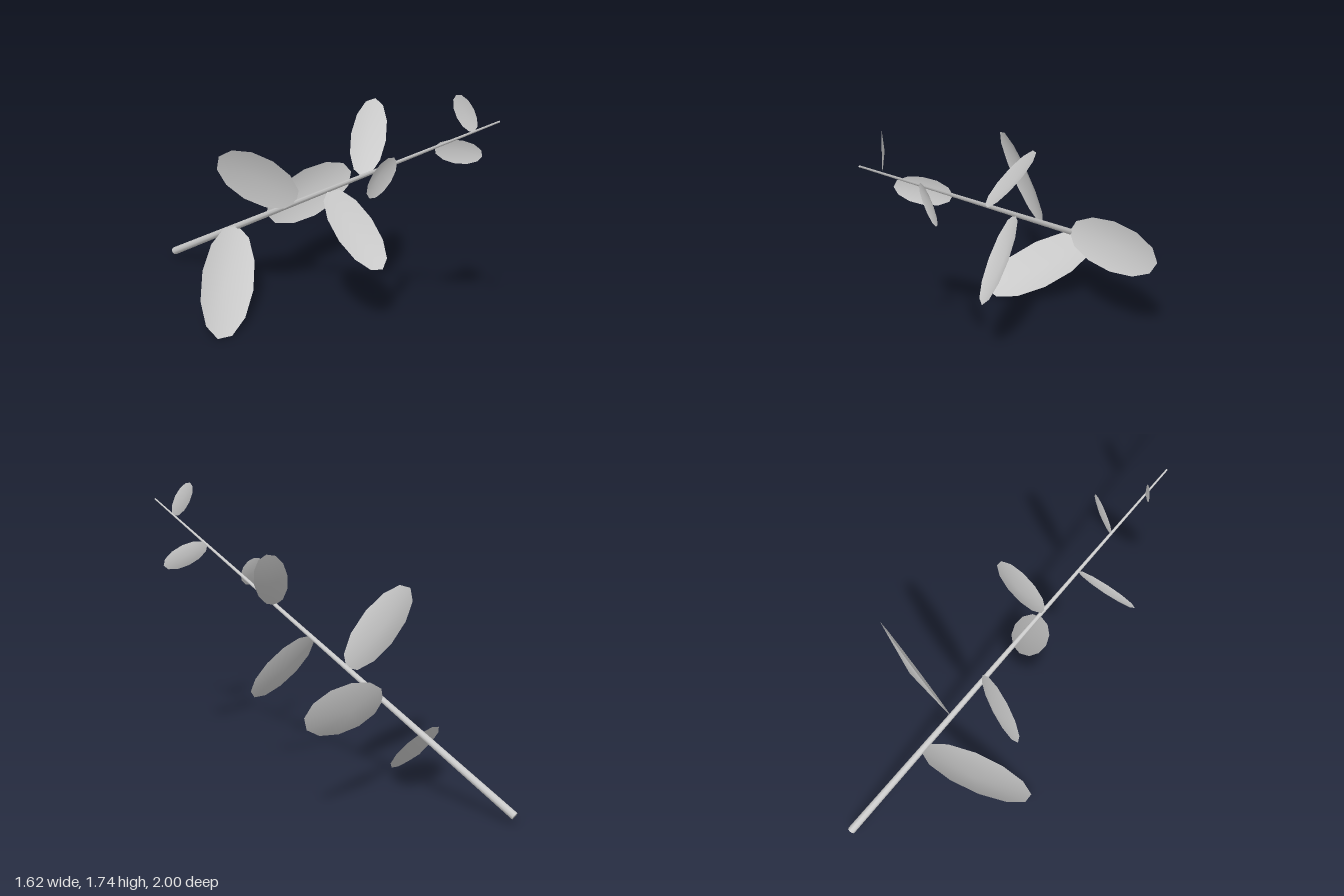
import * as THREE from 'three';

const V = (x, y, z) => new THREE.Vector3(x, y, z);
const STEM_START = V(-0.79, 0.06, -0.985);
const STEM_END = V(0.77, 1.63, 0.997);
const STEM_DIR = STEM_END.clone().sub(STEM_START).normalize();

// Tip position and width direction of each leaf, from the thick end upwards
const LEAVES = [
  [V(-0.629, 0.016, 0.158), V(0.152, -0.081, 0)],
  [V(0.353, 0.67, -0.705), V(-0.03, 0.155, -0.02)],
  [V(-0.58, 1.157, 0.07), V(-0.627, -0.76, 0.057)],
  [V(0.333, 0.482, 0.328), V(0.85, 0.37, -0.337)],
  [V(0.342, 1.432, 0.012), V(-0.94, 0.228, -0.165)],
  [V(0.128, 1.185, 0.788), V(0.127, -0.976, -0.03)],
  [V(0.81, 1.28, 0.616), V(0.28, 0.94, -0.056)],
  [V(0.574, 1.74, 0.865), V(-0.838, -0.532, -0.024)],
];

// Twelve-sided oval fan whose middle bulges back along the stem
function leafGeometry(base, tip, widthHint) {
  const sides = 12;
  const half = tip.clone().sub(base).multiplyScalar(0.5);
  const length = half.length() * 2;
  const along = half.clone().normalize();
  const across = widthHint.clone().addScaledVector(along, -widthHint.dot(along)).normalize();
  let normal = along.clone().cross(across);
  if (normal.dot(STEM_DIR) > 0) {
    normal.negate();
    across.negate();
  }
  const centre = base.clone().add(half);
  const points = [centre.clone().addScaledVector(normal, length * 0.06)];
  const index = [];
  for (let i = 0; i < sides; i++) {
    const a = (i / sides) * Math.PI * 2;
    points.push(centre.clone()
      .addScaledVector(half, Math.cos(a))
      .addScaledVector(across, Math.sin(a) * length * 0.215));
    index.push(0, 1 + i, 1 + ((i + 1) % sides));
  }
  const geometry = new THREE.BufferGeometry().setFromPoints(points);
  geometry.setIndex(index);
  geometry.computeVertexNormals();
  return geometry;
}

export function createModel() {
  const group = new THREE.Group();
  group.name = 'leafySprig';
  const grey = new THREE.MeshStandardMaterial({ color: 0xcccccc, side: THREE.DoubleSide });
  grey.name = 'paleGrey';

  // Tapering stem
  const length = STEM_START.distanceTo(STEM_END);
  const stem = new THREE.Mesh(new THREE.CylinderGeometry(0.005, 0.025, length, 8), grey);
  stem.name = 'stem';
  stem.position.copy(STEM_START).lerp(STEM_END, 0.5);
  stem.quaternion.setFromUnitVectors(V(0, 1, 0), STEM_DIR);
  group.add(stem);

  // Leaves spiralling up the stem at even spacing
  LEAVES.forEach(([tip, width], i) => {
    const base = STEM_START.clone().lerp(STEM_END, 0.24 + i * 0.1);
    const leaf = new THREE.Mesh(leafGeometry(base, tip, width), grey);
    leaf.name = `leaf${i + 1}`;
    group.add(leaf);
  });
  return group;
}
